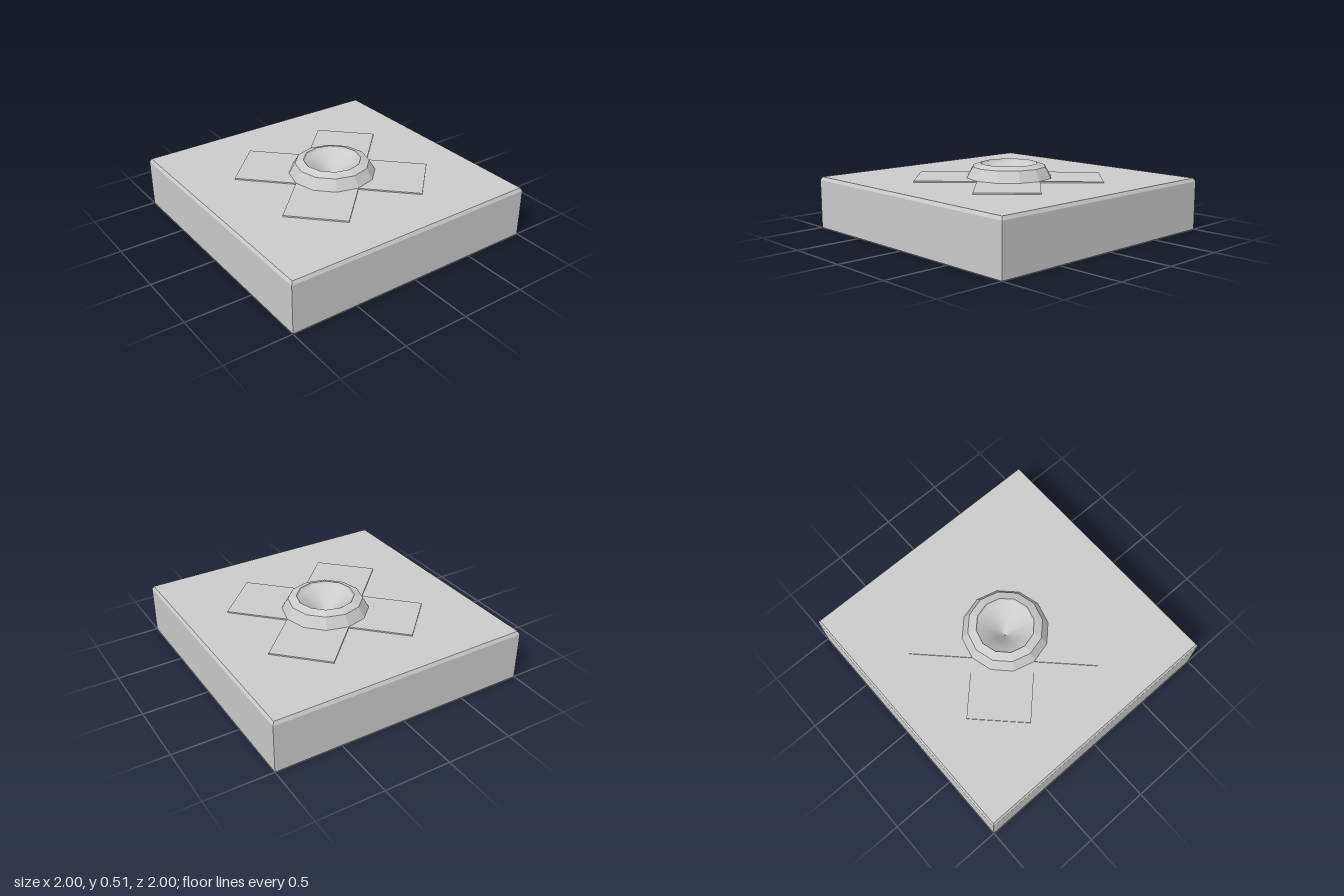
import * as THREE from 'three';

const CENTER_Z = -0.02;
const TOP = 0.393;

function lathe(points, sides) {
  return new THREE.LatheGeometry(points.map(([r, y]) => new THREE.Vector2(r, y)), sides);
}

export function createModel() {
  const model = new THREE.Group();
  const flat = new THREE.MeshStandardMaterial({ color: 0xcccccc, flatShading: true });
  const smooth = new THREE.MeshStandardMaterial({ color: 0xcccccc });

  const add = (name, geometry, material = flat) => {
    const mesh = new THREE.Mesh(geometry, material);
    mesh.name = name;
    model.add(mesh);
    return mesh;
  };

  // Square slab: bottom, sides and a narrow bevel as a four-sided lathe
  const d = Math.SQRT2, bevel = 0.987;
  add('slabBody', lathe([[0, 0], [d, 0], [d, 0.368], [d * bevel, TOP]], 4).rotateY(Math.PI / 4));

  // Slab top, opened beneath the cup
  const top = new THREE.Shape();
  top.moveTo(-bevel, -bevel).lineTo(bevel, -bevel).lineTo(bevel, bevel).lineTo(-bevel, bevel).closePath();
  const hole = new THREE.Path();
  hole.absarc(0, -CENTER_Z, 0.24, 0, Math.PI * 2, true);
  top.holes.push(hole);
  add('slabTop', new THREE.ShapeGeometry(top, 12).rotateX(-Math.PI / 2).translate(0, TOP, 0));

  // Four thin square plates set diagonally around the cup
  for (const sx of [-1, 1]) {
    for (const sz of [-1, 1]) {
      const plate = add('petalPlate', new THREE.BoxGeometry(0.46, 0.02, 0.46));
      plate.rotation.y = Math.PI / 4;
      plate.position.set(sx * 0.325, 0.393, CENTER_Z + sz * 0.325);
    }
  }

  // Faceted raised ring
  add('cupRing', lathe([[0.325, 0.39], [0.325, 0.401], [0.278, 0.485], [0.215, 0.508], [0.208, 0.495]], 12))
    .position.z = CENTER_Z;

  // Smooth funnel-shaped hollow
  add('cupHollow', lathe([[0.208, 0.495], [0.15, 0.455], [0.08, 0.39], [0, 0.29]], 12), smooth)
    .position.z = CENTER_Z;

  return model;
}
